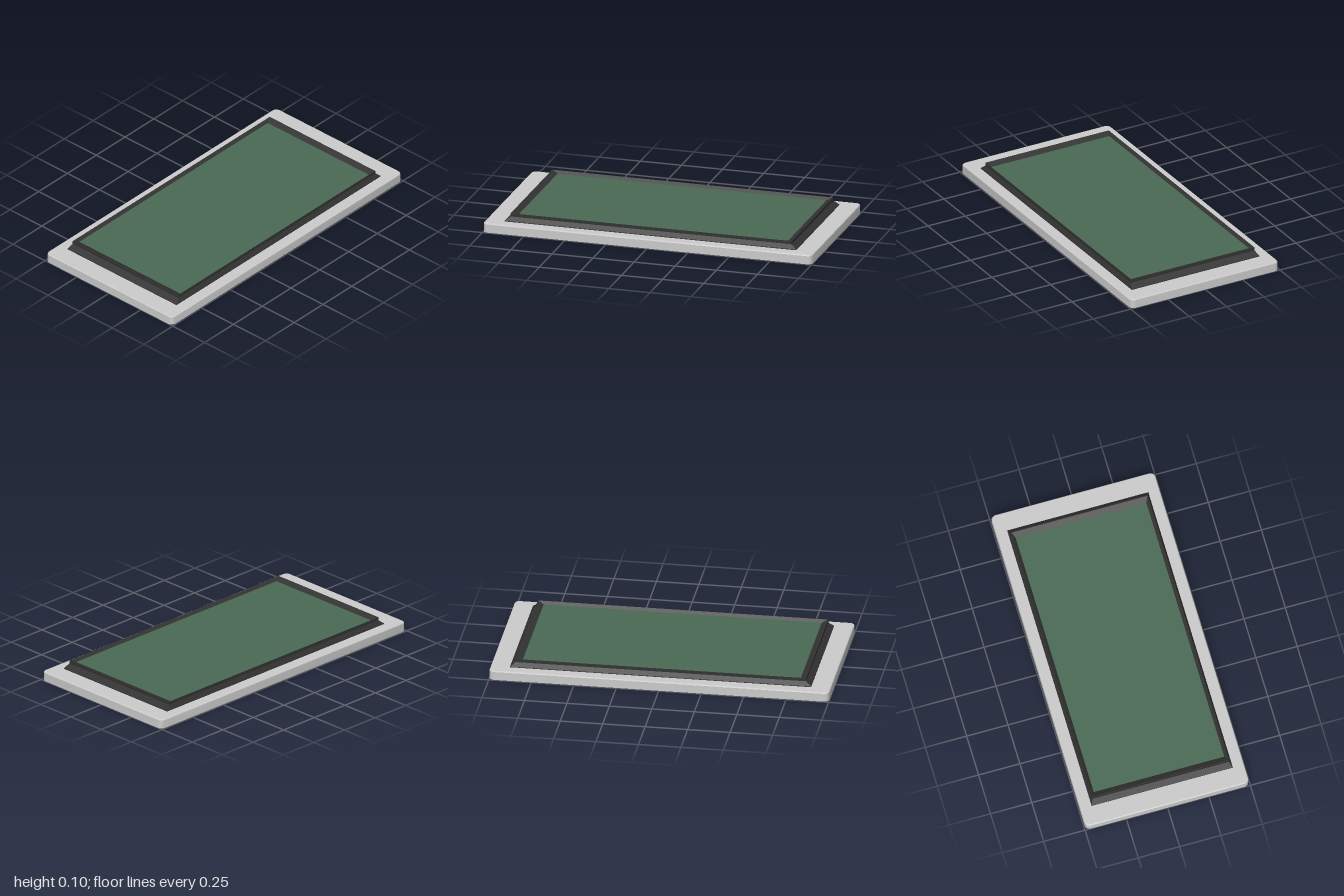
import * as THREE from 'three';
import { toCreasedNormals } from 'three/addons/utils/BufferGeometryUtils.js';

// Rounded rectangle loop, counter-clockwise seen from above (r = 0 gives four corners)
function rectLoop(hw, hd, y, r = 0, seg = 6) {
  const points = [];
  const n = r > 0 ? seg : 0;
  [[1, 1], [-1, 1], [-1, -1], [1, -1]].forEach(([sx, sz], q) => {
    for (let i = 0; i <= n; i++) {
      const a = (q + (n ? i / n : 0)) * Math.PI / 2;
      points.push([sx * (hw - r) + r * Math.cos(a), y, -sz * (hd - r) - r * Math.sin(a)]);
    }
  });
  return points;
}

// Skin consecutive loops, optionally closing the first and last
function loft(loops, capStart, capEnd) {
  const n = loops[0].length;
  const index = [];
  for (let k = 0; k < loops.length - 1; k++) {
    for (let i = 0; i < n; i++) {
      const a = k * n + i, b = k * n + (i + 1) % n;
      index.push(a, b, b + n, a, b + n, a + n);
    }
  }
  const last = (loops.length - 1) * n;
  for (let i = 1; i < n - 1; i++) {
    if (capStart) index.push(0, i + 1, i);
    if (capEnd) index.push(last, last + i, last + i + 1);
  }
  const g = new THREE.BufferGeometry();
  g.setAttribute('position', new THREE.Float32BufferAttribute(loops.flat(2), 3));
  g.setIndex(index);
  return toCreasedNormals(g, Math.PI / 7);
}

export function createModel() {
  const model = new THREE.Group();
  const add = (name, geometry, color) => {
    const mesh = new THREE.Mesh(geometry, new THREE.MeshStandardMaterial({ color }));
    mesh.name = name;
    model.add(mesh);
  };

  // Base slab with rounded corners and a softened top edge
  add('base', loft([
    rectLoop(1, 0.495, 0, 0.03),
    rectLoop(1, 0.495, 0.05, 0.03),
    rectLoop(0.998, 0.493, 0.054, 0.028),
    rectLoop(0.994, 0.489, 0.056, 0.024),
  ], true, true), 0xcccccc);

  // Bezel: flared skirt, upright wall, thin lip and inner slope
  add('bezel', loft([
    rectLoop(0.886, 0.427, 0.055),
    rectLoop(0.886, 0.427, 0.06),
    rectLoop(0.855, 0.413, 0.085),
    rectLoop(0.855, 0.413, 0.104),
    rectLoop(0.85, 0.411, 0.104),
    rectLoop(0.818, 0.395, 0.088),
  ], true, false), 0x333333);

  // Flat panel set inside the bezel
  const screen = new THREE.PlaneGeometry(1.636, 0.79);
  screen.rotateX(-Math.PI / 2).translate(0, 0.088, 0);
  add('screen', screen, 0x496a53);

  return model;
}
